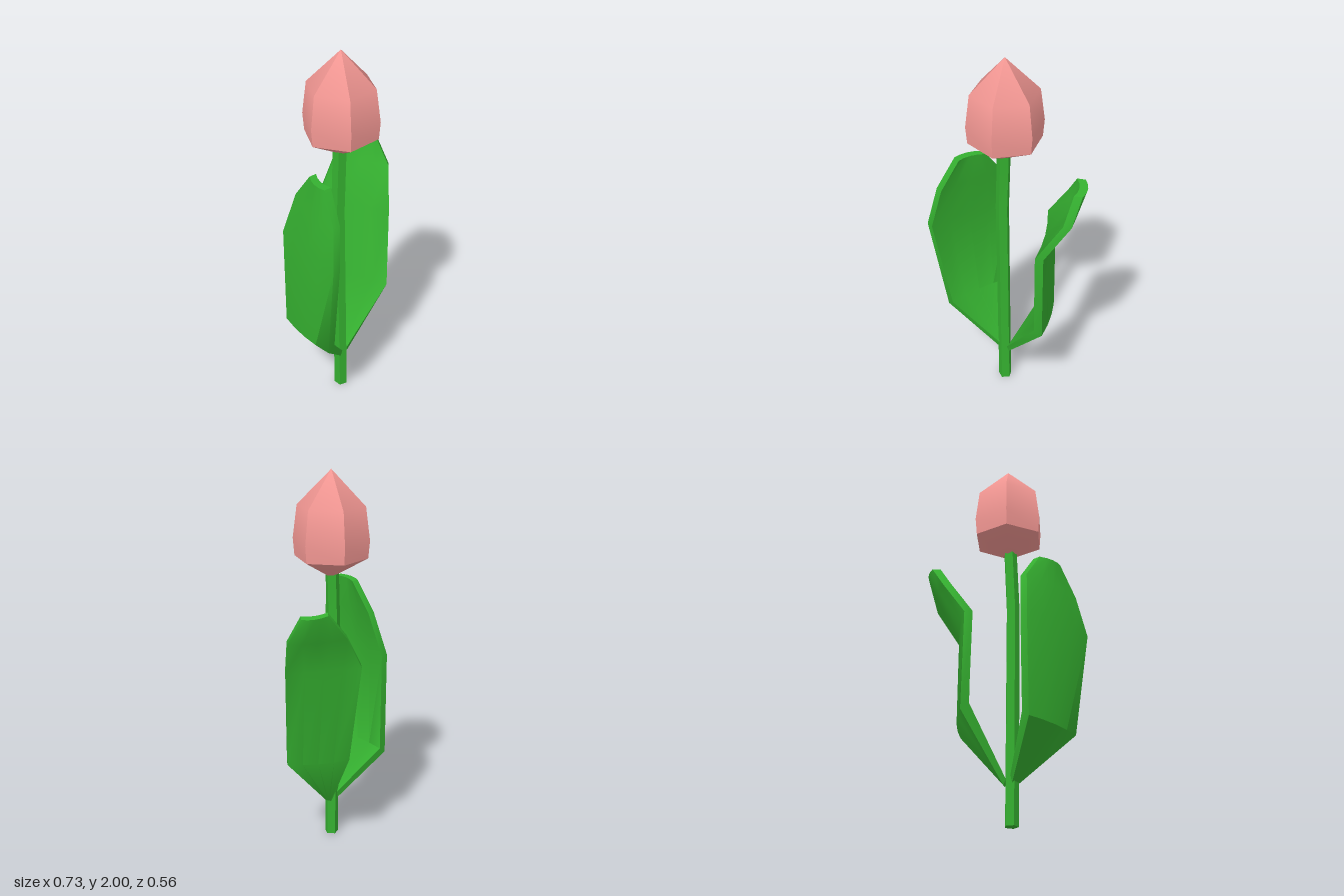
import * as THREE from 'three';
import { toCreasedNormals } from 'three/addons/utils/BufferGeometryUtils.js';

const CREASE = 0.7;
const green = new THREE.MeshStandardMaterial({ color: 0x35b030 });
const pink = new THREE.MeshStandardMaterial({ color: 0xf49894 });

function part(name, geometry, material) {
  const mesh = new THREE.Mesh(toCreasedNormals(geometry, CREASE), material);
  mesh.name = name;
  return mesh;
}

// Thick leaf: each row gives the two ends of a cross-section on the inner face
// (left end then right end, seen from inside); the outer face is offset from it.
function leafGeometry(rows, offset, bulge) {
  const cols = 4;
  const inner = rows.map(([a, b], i) => {
    const start = new THREE.Vector3(...a), end = new THREE.Vector3(...b);
    return Array.from({ length: cols + 1 }, (_, j) => {
      const t = j / cols;
      const curve = i === 0 ? 0 : bulge * 4 * t * (1 - t);
      return start.clone().lerp(end, t).addScaledVector(offset, curve);
    });
  });
  const outer = inner.map((row, i) => row.map((p) => {
    const q = p.clone().addScaledVector(offset, i === 0 ? 0.3 : 1);
    q.y -= i < 2 ? 0.03 : 0;
    return q;
  }));

  const positions = [];
  const quad = (a, b, c, d) => {
    for (const p of [a, b, c, a, c, d]) positions.push(p.x, p.y, p.z);
  };
  const last = rows.length - 1;
  for (let i = 0; i < last; i++) {
    for (let j = 0; j < cols; j++) {
      quad(inner[i][j], inner[i][j + 1], inner[i + 1][j + 1], inner[i + 1][j]);
      quad(outer[i][j + 1], outer[i][j], outer[i + 1][j], outer[i + 1][j + 1]);
    }
    // side rims
    quad(outer[i][0], inner[i][0], inner[i + 1][0], outer[i + 1][0]);
    quad(inner[i][cols], outer[i][cols], outer[i + 1][cols], inner[i + 1][cols]);
  }
  // bottom and tip rims
  for (let j = 0; j < cols; j++) {
    quad(outer[0][j], outer[0][j + 1], inner[0][j + 1], inner[0][j]);
    quad(inner[last][j], inner[last][j + 1], outer[last][j + 1], outer[last][j]);
  }
  const geometry = new THREE.BufferGeometry();
  geometry.setAttribute('position', new THREE.Float32BufferAttribute(positions, 3));
  return geometry;
}

export function createModel() {
  const group = new THREE.Group();
  group.name = 'tulip';

  // five-sided stem with a slight bend
  const stem = new THREE.CylinderGeometry(0.036, 0.036, 1.48, 5, 2, false, Math.PI / 2);
  const pos = stem.attributes.position;
  for (let i = 0; i < pos.count; i++) {
    const middle = Math.abs(pos.getY(i)) < 0.01;
    pos.setXYZ(i, pos.getX(i) - (middle ? 0.075 : 0.061),
      middle ? 1.15 : pos.getY(i) + 0.74, pos.getZ(i) + 0.01);
  }
  group.add(part('stem', stem, green));

  // six-sided closed bud
  const profile = [[0, 1.47], [0.03, 1.47], [0.188, 1.56], [0.196, 1.65], [0.174, 1.82], [0, 2]]
    .map(([r, y]) => new THREE.Vector2(r, y));
  const bud = new THREE.LatheGeometry(profile, 6, Math.PI / 2);
  bud.translate(-0.052, 0, 0.009);
  group.add(part('flowerBud', bud, pink));

  // leaf on the right side
  group.add(part('rightLeaf', leafGeometry([
    [[-0.06, 0.225, 0.025], [-0.06, 0.225, -0.005]],
    [[-0.285, 0.49, 0.195], [-0.245, 0.49, -0.175]],
    [[-0.325, 1.02, 0.28], [-0.243, 1.02, -0.178]],
    [[-0.285, 1.24, 0.24], [-0.205, 1.25, -0.115]],
    [[-0.252, 1.4, 0.145], [-0.213, 1.4, 0]],
  ], new THREE.Vector3(-0.04, 0, -0.003), 0.45), green));

  // leaf on the left side, leaning outwards at the top
  group.add(part('leftLeaf', leafGeometry([
    [[-0.04, 0.235, -0.005], [-0.03, 0.235, 0.025]],
    [[0.05, 0.59, -0.195], [0.235, 0.55, 0.066]],
    [[0.005, 1.06, -0.235], [0.237, 1.02, 0.068]],
    [[0.137, 1.25, -0.247], [0.33, 1.22, -0.03]],
    [[0.235, 1.38, -0.21], [0.317, 1.36, -0.11]],
  ], new THREE.Vector3(0.03, -0.005, -0.03), 0.45), green));

  return group;
}
